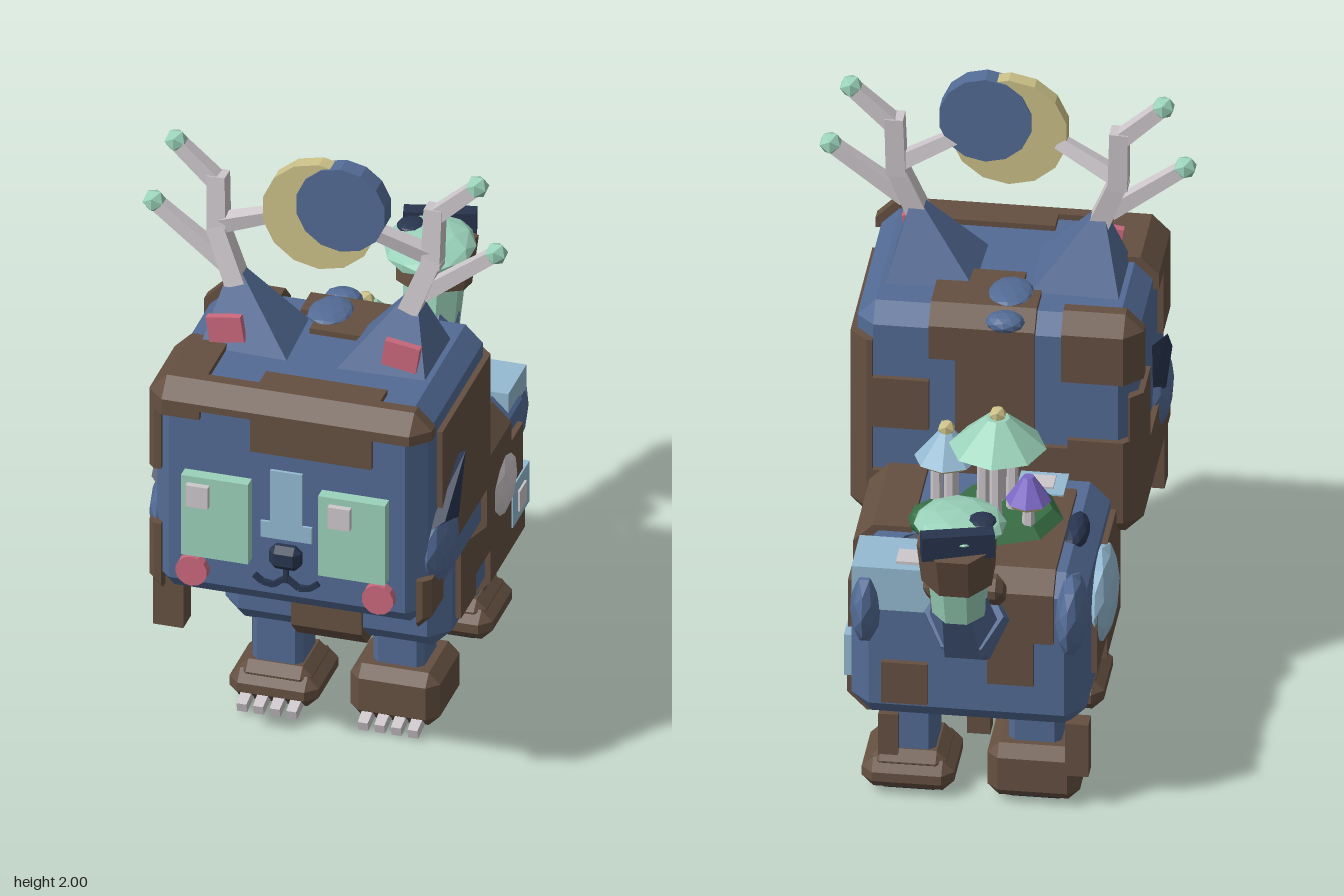
import * as THREE from 'three';
import { ConvexGeometry } from 'three/addons/geometries/ConvexGeometry.js';

const V = (x, y, z) => new THREE.Vector3(x, y, z);
const mats = {};
for (const [name, color] of Object.entries({
  blueFur: 0x536b95, brownFur: 0x655041, navy: 0x28354f, mint: 0x9ad2ba, sky: 0x94bad2,
  pink: 0xca687d, bone: 0xcdc7cb, yellow: 0xcbc088, green: 0x386f45, purple: 0x7c68c6,
})) {
  mats[name] = new THREE.MeshStandardMaterial({ color });
  mats[name].name = name;
}

// Bevelled box given by its bounds, optionally cut down to a region inside it
function bevelBox(b, c, region = [-9, 9, -9, 9, -9, 9]) {
  const mid = [0, 2, 4].map(i => (b[i] + b[i + 1]) / 2);
  const half = [0, 2, 4].map(i => (b[i + 1] - b[i]) / 2);
  const planes = [];
  for (let x = -1; x <= 1; x++) for (let y = -1; y <= 1; y++) for (let z = -1; z <= 1; z++) {
    const s = [x, y, z], count = Math.abs(x) + Math.abs(y) + Math.abs(z);
    if (!count) continue;
    let d = -(count - 1) * c;
    s.forEach((v, i) => { d += v * mid[i] + Math.abs(v) * half[i]; });
    if (count === 1) {
      const i = s.findIndex(v => v !== 0);
      d = s[i] > 0 ? Math.min(d, region[2 * i + 1]) : Math.min(d, -region[2 * i]);
    }
    planes.push({ n: V(x, y, z), d });
  }
  const found = new Map();
  for (let i = 0; i < planes.length; i++) for (let j = 0; j < i; j++) for (let k = 0; k < j; k++) {
    const [p, q, r] = [planes[i], planes[j], planes[k]];
    const qr = q.n.clone().cross(r.n), det = p.n.dot(qr);
    if (Math.abs(det) < 1e-6) continue;
    const pt = qr.multiplyScalar(p.d)
      .addScaledVector(r.n.clone().cross(p.n), q.d)
      .addScaledVector(p.n.clone().cross(q.n), r.d).divideScalar(det);
    if (planes.every(o => o.n.dot(pt) <= o.d + 1e-6)) found.set(pt.toArray().map(v => Math.round(v * 1e4)).join(), pt);
  }
  return new ConvexGeometry([...found.values()]);
}

export function createModel() {
  const model = new THREE.Group();
  model.name = 'creature';

  // Flat-faced mesh
  function add(name, mat, geo, pos = [0, 0, 0], rot = [0, 0, 0]) {
    const g = geo.index ? geo.toNonIndexed() : geo;
    g.computeVertexNormals();
    const m = new THREE.Mesh(g, mats[mat]);
    m.name = name;
    m.position.set(...pos);
    m.rotation.set(...rot);
    model.add(m);
    return m;
  }
  const box = (name, mat, b, rot) => add(name, mat, new THREE.BoxGeometry(b[1] - b[0], b[3] - b[2], b[5] - b[4]),
    [(b[0] + b[1]) / 2, (b[2] + b[3]) / 2, (b[4] + b[5]) / 2], rot);
  const blob = (name, mat, pos, r, rot) => add(name, mat, new THREE.IcosahedronGeometry(1, 1).scale(...r), pos, rot);
  const bead = (name, mat, pos, r) => add(name, mat, new THREE.IcosahedronGeometry(r, 0), pos);
  function rod(name, mat, a, b, r0, r1 = r0, sides = 4) {
    const p = V(...a), q = V(...b), dir = q.clone().sub(p);
    const geo = new THREE.CylinderGeometry(r1, r0, dir.length(), sides).rotateY(Math.PI / sides);
    const m = add(name, mat, geo, p.clone().add(q).multiplyScalar(0.5).toArray());
    m.quaternion.setFromUnitVectors(V(0, 1, 0), dir.normalize());
  }
  const patches = (name, b, c, list) => {
    const out = b.map((v, i) => v + (i % 2 ? 0.018 : -0.018));
    for (const r of list) add(name, 'brownFur', bevelBox(out, c, r));
  };

  // Head with brown patches that wrap its edges
  const head = [-0.425, 0.425, 0.635, 1.35, 0.125, 0.795];
  add('head', 'blueFur', bevelBox(head, 0.055));
  patches('headPatch', head, 0.055, [
    [-9, -0.27, 1.26, 9, 0.5, 9], [-0.27, 0.27, 1.29, 9, 0.72, 9], [-0.11, 0.27, 1.18, 9, 0.65, 9],
    [0.27, 9, 1.28, 9, 0.72, 9], [0.37, 9, 0.8, 1.25, -9, 0.65], [0.4, 9, -9, 0.8, 0.64, 0.78],
    [0.3, 9, -9, 0.8, -9, 0.2], [-0.06, 0.2, 1.2, 9, -9, 0.37], [-0.12, 0.12, 0.9, 9, -9, 0.27],
    [-9, -0.4, -9, 0.86, -9, 0.78], [-9, -0.4, 0.86, 1.1, 0.125, 0.32], [-9, -0.4, 1.05, 1.27, 0.6, 0.78],
    [-9, -0.22, -9, 0.95, -9, 0.2], [-0.22, 0.15, -9, 0.92, -9, 0.2], [-9, -0.2, 1.15, 9, -9, 0.2],
    [0.2, 9, 0.95, 1.12, -9, 0.2],
  ]);
  box('hangingLock', 'brownFur', [-0.44, -0.345, 0.48, 0.66, 0.65, 0.73]);
  blob('headTuft', 'blueFur', [-0.03, 1.365, 0.25], [0.07, 0.02, 0.09]);
  blob('napeTuft', 'blueFur', [-0.03, 1.34, 0.12], [0.06, 0.03, 0.05]);

  // Face
  for (const s of [-1, 1]) {
    const ex = s * 0.215, px = s < 0 ? -0.265 : 0.18;
    box('eye', 'mint', [ex - 0.105, ex + 0.105, 0.8, 1.075, 0.78, 0.835]);
    box('eyeGlint', 'bone', [px - 0.035, px + 0.035, 0.98, 1.053, 0.83, 0.855]);
    add('cheek', 'pink', new THREE.CylinderGeometry(0.05, 0.05, 0.04, 14).rotateX(Math.PI / 2), [s * 0.292, 0.738, 0.803]);
    rod('mouth', 'navy', [0, 0.755, 0.8], [s * 0.04, 0.725, 0.8], 0.012);
    rod('mouth', 'navy', [s * 0.04, 0.725, 0.8], [s * 0.075, 0.73, 0.8], 0.012);
    rod('mouth', 'navy', [s * 0.075, 0.73, 0.8], [s * 0.1, 0.75, 0.8], 0.012);
  }
  box('noseBridge', 'sky', [-0.05, 0.05, 0.89, 1.12, 0.78, 0.805]);
  box('noseBase', 'sky', [-0.08, 0.08, 0.885, 0.94, 0.78, 0.804]);
  add('nose', 'navy', bevelBox([-0.05, 0.05, 0.79, 0.87, 0.78, 0.835], 0.02));
  box('mouthLine', 'navy', [-0.007, 0.007, 0.74, 0.8, 0.79, 0.81]);

  // Ears, antlers and side fluff
  for (const s of [-1, 1]) {
    add('ear', 'blueFur', new ConvexGeometry([
      V(s * 0.355, 1.34, 0.27), V(s * 0.08, 1.34, 0.28), V(s * 0.07, 1.34, 0.55),
      V(s * 0.355, 1.34, 0.54), V(s * 0.285, 1.6, 0.41)]));
    box('innerEar', 'pink', [s * 0.275 - 0.055, s * 0.275 + 0.055, 1.375, 1.46, 0.51, 0.535], [0, 0, -s * 0.15]);
    const P = (x, y, z) => [s * x, y, z];
    rod('antlerBase', 'bone', P(0.27, 1.52, 0.42), P(0.34, 1.7, 0.4), 0.045, 0.04);
    rod('antlerTrunk', 'bone', P(0.335, 1.67, 0.4), P(0.34, 1.87, 0.39), 0.042, 0.04);
    rod('antlerTip', 'bone', P(0.34, 1.84, 0.39), P(0.465, 1.955, 0.39), 0.035, 0.03);
    rod('antlerBranch', 'bone', P(0.31, 1.58, 0.41), P(0.53, 1.745, 0.405), 0.034, 0.028);
    rod('antlerArm', 'bone', P(0.32, 1.71, 0.4), P(0.15, 1.79, 0.44), 0.034, 0.028);
    bead('antlerBud', 'mint', P(0.472, 1.962, 0.39), 0.037);
    bead('antlerBud', 'mint', P(0.536, 1.75, 0.405), 0.037);
    bead('armBud', 'mint', P(0.135, 1.8, 0.445), 0.024);
    blob('cheekFluff', 'blueFur', P(0.425, 0.85, 0.62), [0.045, 0.125, 0.135]);
    add('fluffSpike', 'navy', new ConvexGeometry([
      V(s * 0.41, 0.93, 0.72), V(s * 0.46, 0.96, 0.68), V(s * 0.41, 0.88, 0.5), V(s * 0.47, 1.11, 0.5),
      V(s * 0.46, 0.9, 0.54), V(s * 0.42, 1.07, 0.48)]));
    blob('haunchFluff', 'blueFur', P(0.31, 0.68, -0.45), [0.05, 0.13, 0.13]);
  }

  // Moon held between the antlers
  const disc = (name, mat, r, z0, z1, x, y) => add(name, mat,
    new THREE.CylinderGeometry(r, r, z1 - z0, 14).rotateX(Math.PI / 2), [x, y, (z0 + z1) / 2]);
  disc('moon', 'yellow', 0.18, 0.42, 0.47, 0, 1.82);
  disc('moonShadow', 'blueFur', 0.142, 0.414, 0.477, 0.07, 1.858);

  // Body with patches
  const body = [-0.35, 0.36, 0.285, 0.81, -0.49, 0.345];
  add('body', 'blueFur', bevelBox(body, 0.06));
  patches('bodyPatch', body, 0.06, [
    [0.2, 9, 0.44, 9, -0.26, 0.11], [0.3, 9, 0.44, 0.7, -0.38, 0.0], [0.25, 9, 0.37, 0.65, 0.1, 0.25],
    [0.2, 9, -9, 0.44, -0.4, -0.05], [-0.26, 0.03, 0.6, 9, -9, -0.27], [-0.26, -0.04, 0.75, 9, -0.3, 0.03],
    [-0.2, -0.06, 0.45, 0.7, -9, -0.4], [-9, -0.28, 0.32, 0.72, -0.1, 0.2], [-9, -0.3, 0.4, 0.6, -0.32, -0.1],
    [-0.12, 0.1, -9, 0.42, 0.1, 9], [-0.2, 0.25, -9, 0.35, -0.25, 0.05], [0.12, 0.26, 0.36, 0.5, -9, -0.4],
  ]);
  blob('chestFluff', 'blueFur', [0, 0.57, 0.35], [0.145, 0.14, 0.06]);
  box('bellyLock', 'brownFur', [-0.035, 0.035, 0.12, 0.3, -0.25, -0.19]);
  box('rearLock', 'brownFur', [-0.36, -0.29, 0.12, 0.3, -0.46, -0.4]);
  blob('leftSpot', 'bone', [0.35, 0.585, -0.2], [0.05, 0.12, 0.14]);
  blob('rightSpot', 'sky', [-0.36, 0.59, -0.16], [0.05, 0.15, 0.17]);
  box('rumpWindow', 'sky', [0.11, 0.35, 0.68, 0.825, -0.505, -0.32]);
  box('rumpPane', 'bone', [0.145, 0.22, 0.8, 0.835, -0.475, -0.4]);
  box('backWindow', 'sky', [-0.225, -0.08, 0.75, 0.833, -0.02, 0.12]);
  box('backPane', 'bone', [-0.19, -0.12, 0.8, 0.84, 0.01, 0.08]);
  box('flankWindow', 'sky', [0.3, 0.383, 0.4, 0.54, -0.43, -0.26]);
  box('flankPane', 'bone', [0.32, 0.39, 0.43, 0.5, -0.38, -0.31]);

  // Legs, boots, soles and claws; two boots are tall and two are low with a cuff
  for (const sx of [-1, 1]) for (const sz of [-1, 1]) {
    const x = sx * 0.19, z = sz > 0 ? 0.21 : -0.325, tall = sx === sz;
    add('leg', 'blueFur', bevelBox([x - 0.08, x + 0.08, 0.06, 0.35, z - 0.08, z + 0.08], 0.02));
    add('boot', 'brownFur', bevelBox([x - 0.14, x + 0.14, 0.02, tall ? 0.2 : 0.12, z - 0.135, z + 0.135], 0.035));
    if (!tall) add('bootCuff', 'brownFur', bevelBox([x - 0.115, x + 0.115, 0.08, 0.145, z - 0.115, z + 0.115], 0.03));
    if (!tall) box('legPatch', 'brownFur', [x + sx * 0.06 - 0.03, x + sx * 0.06 + 0.03, 0.1, 0.27, z - 0.1, z + 0.03]);
    add('sole', 'navy', bevelBox([x - 0.1, x + 0.1, 0.003, 0.06, z - 0.1, z + 0.1], 0.025));
    if (sz > 0) for (let i = 0; i < 4; i++) {
      const cx = x + (i - 1.5) * 0.052;
      rod('claw', 'bone', [cx, 0.045, 0.31], [cx, 0.025, 0.385], 0.025, 0.022);
    }
  }

  // Tail
  rod('tailBase', 'blueFur', [0, 0.62, -0.42], [0, 0.73, -0.58], 0.14, 0.12, 6);
  rod('tailLower', 'blueFur', [0, 0.65, -0.53], [0, 0.86, -0.69], 0.11, 0.085, 6);
  add('tailPatch', 'brownFur', bevelBox([-0.12, 0.12, -0.07, 0.07, -0.04, 0.04], 0.02), [0, 0.81, -0.56], [-0.85, 0, 0]);
  rod('tailRing', 'mint', [0, 0.81, -0.675], [0, 0.97, -0.705], 0.085, 0.095, 8);
  rod('tailCuff', 'brownFur', [0, 0.945, -0.7], [0, 1.09, -0.735], 0.115, 0.125, 8);
  blob('tailTip', 'mint', [0, 1.095, -0.66], [0.14, 0.045, 0.165], [0.08, 0.2, 0]);
  box('tailCrest', 'navy', [-0.12, 0.1, 1.06, 1.14, -0.82, -0.77], [0, 0.25, 0]);
  blob('tailMark', 'navy', [-0.07, 1.13, -0.7], [0.045, 0.015, 0.05]);

  // Moss with mushrooms
  add('moss', 'green', new THREE.CylinderGeometry(0.15, 0.19, 0.04, 8), [-0.06, 0.842, -0.15]);
  blob('mossClump', 'green', [0.13, 0.85, -0.24], [0.085, 0.055, 0.08]);
  blob('leaf', 'navy', [-0.285, 0.8, -0.17], [0.04, 0.04, 0.1]);
  blob('leaf', 'navy', [0.12, 0.79, -0.3], [0.12, 0.05, 0.035]);
  function mushroom(mat, x, z, r, y, h, stems) {
    for (let i = 0; i < stems; i++) {
      const a = i / stems * Math.PI * 2, d = stems > 1 ? r * 0.3 : 0;
      const p = [x + Math.cos(a) * d, z + Math.sin(a) * d];
      rod('mushroomStem', 'bone', [p[0], 0.8, p[1]], [p[0], y + 0.01, p[1]], 0.02, 0.018, 6);
    }
    add('mushroomGills', 'yellow', new THREE.CylinderGeometry(r * 0.97, r * 0.85, 0.012, 8), [x, y - 0.006, z]);
    add('mushroomCap', mat, new THREE.CylinderGeometry(r * 0.25, r, h, 8), [x, y + h / 2, z]);
    if (stems > 1) bead('mushroomBead', 'yellow', [x, y + h + 0.01, z], 0.028);
  }
  mushroom('mint', -0.045, -0.155, 0.148, 1.07, 0.1, 4);
  mushroom('sky', 0.12, -0.08, 0.098, 0.975, 0.09, 3);
  mushroom('purple', -0.15, -0.245, 0.07, 0.945, 0.08, 1);
  return model;
}
